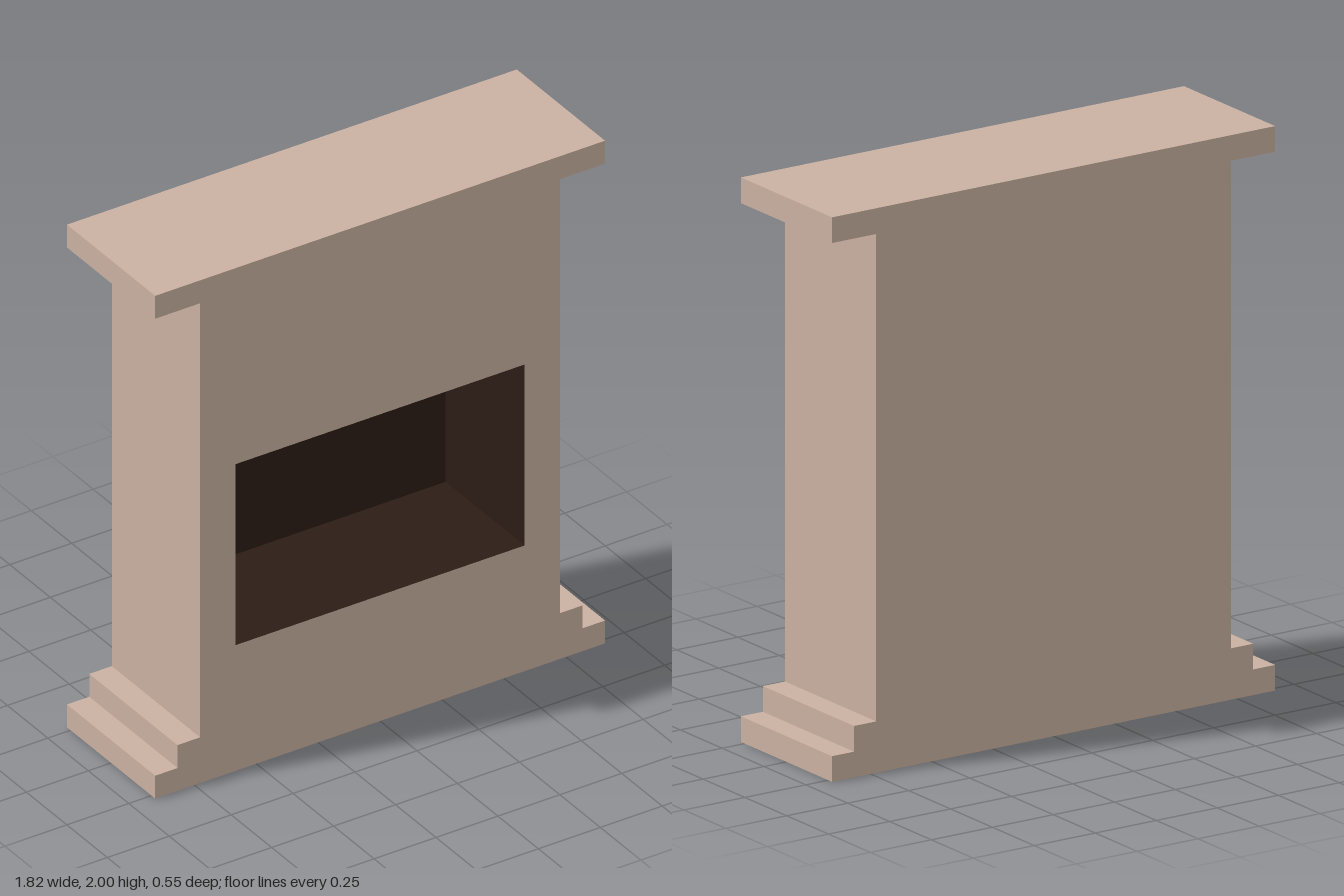
import * as THREE from 'three';

const DEPTH = 0.545, FRONT = DEPTH / 2;
const stone = new THREE.MeshStandardMaterial({ color: 0xcab1a1 });
const soot = new THREE.MeshStandardMaterial({ color: 0x2c1c15 });

// Firebox opening and its depth
const HALF = 0.583, BOTTOM = 0.5, TOP = 1.22, NICHE = 0.487;

// Right half of the outline, bottom to top: two steps, body, mantel
const profile = [
  [0.908, 0], [0.908, 0.091], [0.818, 0.091], [0.818, 0.182],
  [0.727, 0.182], [0.727, 1.909], [0.908, 1.909], [0.908, 2],
];

function outline() {
  const mirrored = profile.map(([x, y]) => [-x, y]).reverse();
  return new THREE.Shape([...profile, ...mirrored].map(([x, y]) => new THREE.Vector2(x, y)));
}

// Keep only the vertices or indices outside the range [start, end)
function dropRange(geometry, start, end) {
  const old = geometry.index ? Array.from(geometry.index.array)
    : Array.from({ length: geometry.attributes.position.count }, (_, i) => i);
  geometry.setIndex(old.filter((_, i) => i < start || i >= end));
  geometry.clearGroups();
  return geometry;
}

function add(group, name, geometry, material) {
  const mesh = new THREE.Mesh(geometry, material);
  mesh.name = name;
  group.add(mesh);
  return mesh;
}

export function createModel() {
  const group = new THREE.Group();
  group.name = 'fireplace';

  // Sides and back: extruded outline without its front cap
  const shell = new THREE.ExtrudeGeometry(outline(), { depth: DEPTH, bevelEnabled: false });
  const caps = shell.groups[0].count;
  dropRange(shell, caps / 2, caps);
  add(group, 'surround', shell, stone).position.z = -FRONT;

  // Front face with the opening cut out
  const face = outline();
  face.holes.push(new THREE.Path([
    new THREE.Vector2(-HALF, BOTTOM), new THREE.Vector2(-HALF, TOP),
    new THREE.Vector2(HALF, TOP), new THREE.Vector2(HALF, BOTTOM),
  ]));
  add(group, 'frontFace', new THREE.ShapeGeometry(face), stone).position.z = FRONT;

  // Firebox: box turned inside out, open at the front
  const box = new THREE.BoxGeometry(2 * HALF, TOP - BOTTOM, NICHE);
  dropRange(box, 24, 30);
  const inside = soot.clone();
  inside.side = THREE.DoubleSide;
  add(group, 'firebox', box, inside).position.set(0, (TOP + BOTTOM) / 2, FRONT - NICHE / 2);

  return group;
}
